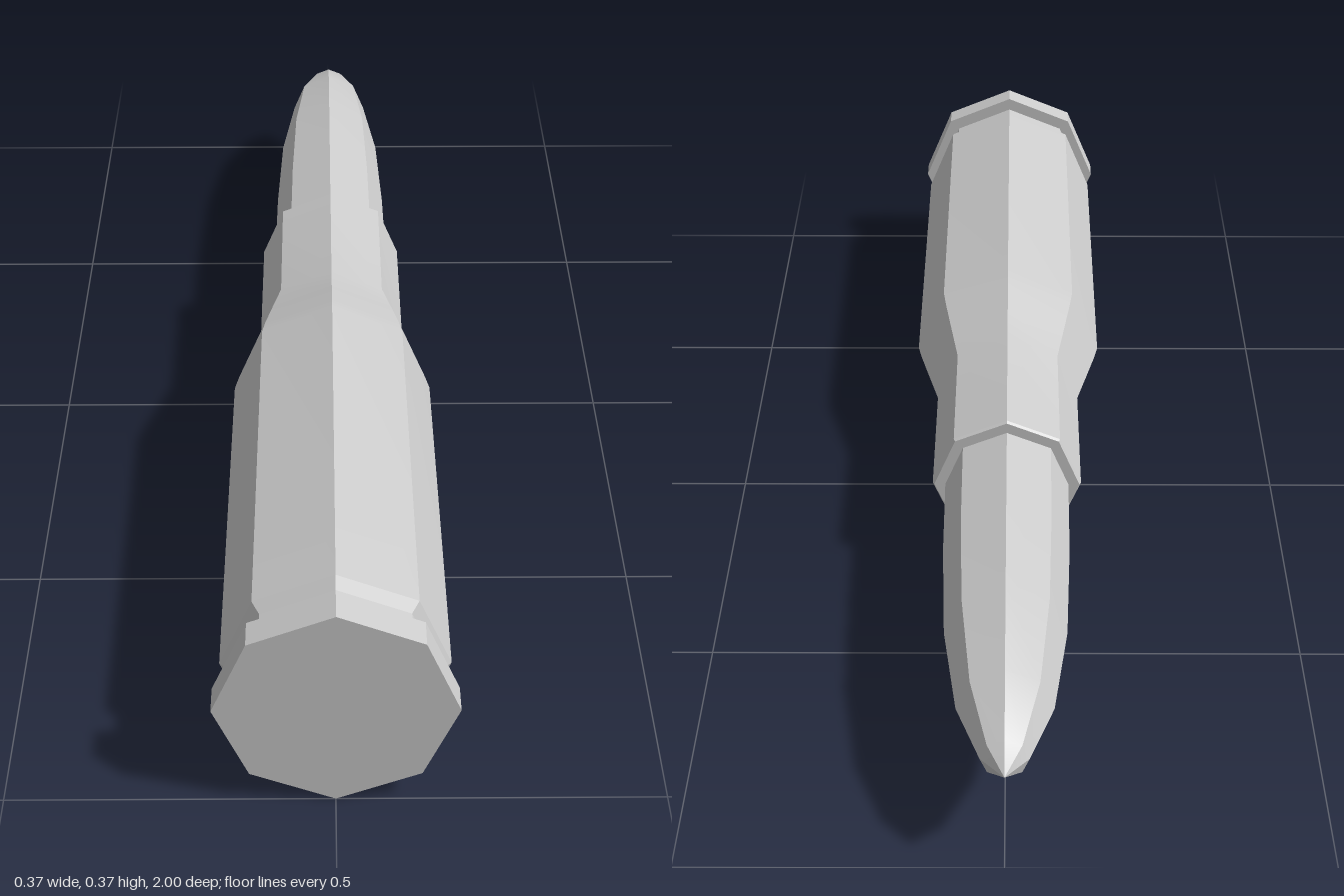
import * as THREE from 'three';
import { toCreasedNormals } from 'three/addons/utils/BufferGeometryUtils.js';

const SIDES = 8;
const AXIS_HEIGHT = 0.184;

// Turns a [radius, z] profile (listed from back to front) around the z axis.
function turned(name, profile, material) {
  const points = profile.map(([r, z]) => new THREE.Vector2(r, z));
  const lathe = new THREE.LatheGeometry(points, SIDES).rotateX(Math.PI / 2);
  const mesh = new THREE.Mesh(toCreasedNormals(lathe, 0.4), material);
  mesh.name = name;
  mesh.position.y = AXIS_HEIGHT;
  return mesh;
}

export function createModel() {
  const group = new THREE.Group();
  group.name = 'cartridge';
  const material = new THREE.MeshStandardMaterial({ color: 0xcccccc });

  // Pointed projectile, seated a little way into the case neck
  group.add(turned('projectile', [
    [0, -1], [0.037, -0.96], [0.075, -0.85], [0.098, -0.67],
    [0.106, -0.45], [0.108, -0.24],
  ], material));

  // Case: mouth, neck, curved shoulder, straight body
  group.add(turned('case', [
    [0.106, -0.26], [0.127, -0.26], [0.13, -0.255], [0.13, 0.02],
    [0.15, 0.1], [0.166, 0.165], [0.173, 0.2], [0.174, 0.9],
    [0.158, 0.915],
  ], material));

  // Base: extraction groove, rim and closed end face
  group.add(turned('rim', [
    [0.158, 0.915], [0.158, 0.953], [0.183, 0.953], [0.183, 1], [0, 1],
  ], material));

  return group;
}
